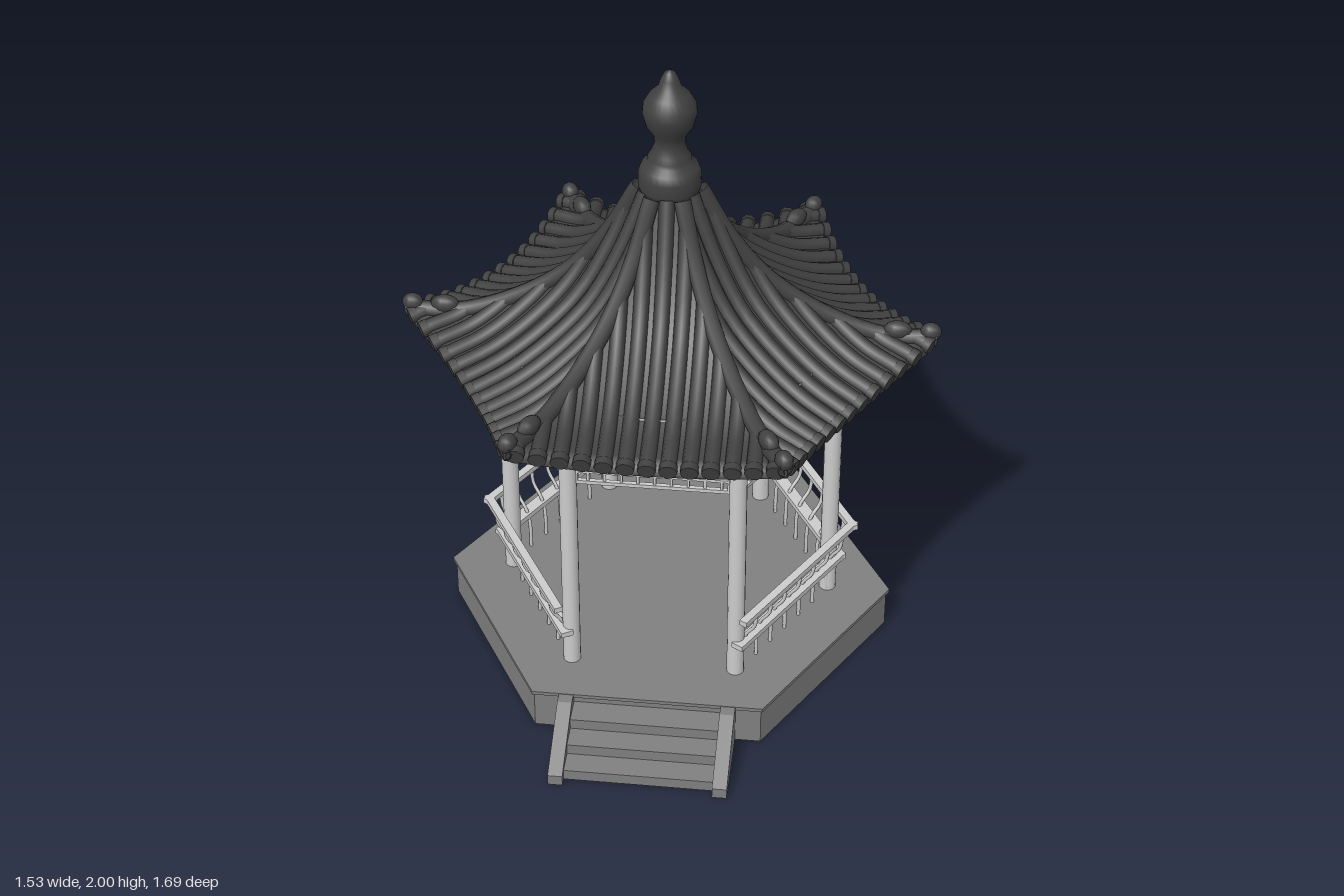
import * as THREE from 'three';

const light = new THREE.MeshStandardMaterial({ color: 0xcccccc, side: THREE.DoubleSide });
light.name = 'pale paint';
const stone = new THREE.MeshStandardMaterial({ color: 0x808080 });
stone.name = 'grey stone';
const tile = new THREE.MeshStandardMaterial({ color: 0x404040, side: THREE.DoubleSide });
tile.name = 'dark roof tile';

const rad = THREE.MathUtils.degToRad;
const SIDE = 9;           // direction of the first side, degrees from +x towards +z
const COL_R = 0.51;       // column circle
const TAN30 = Math.tan(Math.PI / 6);

function add(parent, name, geometry, material, x = 0, y = 0, z = 0) {
  const mesh = new THREE.Mesh(geometry, material);
  mesh.name = name;
  mesh.position.set(x, y, z);
  parent.add(mesh);
  return mesh;
}

function box(parent, name, material, w, h, d, x, y, z) {
  return add(parent, name, new THREE.BoxGeometry(w, h, d), material, x, y, z);
}

// Group whose local +x points outward at the given angle
function facing(parent, name, degrees) {
  const group = new THREE.Group();
  group.name = name;
  group.rotation.y = -rad(degrees);
  parent.add(group);
  return group;
}

function hexSlab(r, h) {
  const g = new THREE.CylinderGeometry(r, r, h, 6).toNonIndexed();
  g.computeVertexNormals();
  return g;
}

const curve = (pts) => new THREE.CatmullRomCurve3(pts.map(([x, y, z = 0]) => new THREE.Vector3(x, y, z)));

// Roof profiles from apex to eave: along a corner ridge and along the middle of a side
const ridgeLine = curve([[0.09, 1.61], [0.185, 1.44], [0.305, 1.3], [0.47, 1.19], [0.65, 1.125], [0.81, 1.125]]);
const middleLine = curve([[0.078, 1.61], [0.16, 1.43], [0.265, 1.27], [0.405, 1.16], [0.53, 1.095], [0.65, 1.06]]);

// Point on one roof side: u across (-1..1), v down (0..1)
function roofPoint(u, v) {
  const r = ridgeLine.getPoint(v), m = middleLine.getPoint(v), k = u * u;
  return new THREE.Vector3(
    THREE.MathUtils.lerp(m.x, r.x * Math.cos(Math.PI / 6), k),
    THREE.MathUtils.lerp(m.y, r.y, k),
    u * r.x / 2);
}

// Curved sheet with a short drop along the eave
function roofSheet() {
  const nu = 16, nv = 16, pos = [], idx = [];
  for (let j = 0; j <= nv + 1; j++) {
    for (let i = 0; i <= nu; i++) {
      const p = roofPoint(i / nu * 2 - 1, Math.min(j / nv, 1));
      if (j > nv) p.y -= 0.03;
      pos.push(p.x, p.y, p.z);
      if (j <= nv && i < nu) {
        const a = j * (nu + 1) + i, b = a + nu + 1;
        idx.push(a, a + 1, b, a + 1, b + 1, b);
      }
    }
  }
  const g = new THREE.BufferGeometry();
  g.setAttribute('position', new THREE.Float32BufferAttribute(pos, 3));
  g.setIndex(idx);
  g.computeVertexNormals();
  return g;
}

// Row of round tiles at a fixed distance s from the middle of the side
function tileRow(parent, s) {
  let lo = 0, hi = 1;
  for (let i = 0; i < 25; i++) {
    const mid = (lo + hi) / 2;
    if (ridgeLine.getPoint(mid).x / 2 < Math.abs(s)) lo = mid; else hi = mid;
  }
  const pts = [];
  for (let i = 0; i <= 10; i++) {
    const v = hi + (1 - hi) * i / 10;
    pts.push(roofPoint(s / (ridgeLine.getPoint(v).x / 2), v));
  }
  const path = new THREE.CatmullRomCurve3(pts);
  add(parent, 'tileRow', new THREE.TubeGeometry(path, 18, 0.024, 8), tile);
  const cap = add(parent, 'tileEnd', new THREE.CylinderGeometry(0.027, 0.027, 0.025, 10), tile);
  cap.position.copy(pts[10]);
  cap.quaternion.setFromUnitVectors(new THREE.Vector3(0, 1, 0), path.getTangent(1));
}

function buildRoof(root) {
  const roof = new THREE.Group();
  roof.name = 'roof';
  root.add(roof);
  const sheet = roofSheet();
  const ridge = new THREE.TubeGeometry(ridgeLine, 24, 0.027, 8);
  for (let k = 0; k < 6; k++) {
    const side = facing(roof, 'roofSide', SIDE - 0.7 + 60 * k);
    add(side, 'roofSheet', sheet, tile);
    for (let i = -6; i <= 6; i++) tileRow(side, i * 0.062);
    const corner = facing(roof, 'roofCorner', SIDE + 29.3 + 60 * k);
    add(corner, 'ridge', ridge, tile);
    // Stepped upturned tip
    add(corner, 'ridgeTip', new THREE.SphereGeometry(0.03, 10, 8), tile, 0.79, 1.145, 0).scale.set(1.1, 1, 0.9);
    add(corner, 'ridgeStep', new THREE.SphereGeometry(0.03, 10, 8), tile, 0.69, 1.145, 0).scale.set(1.5, 1, 0.9);
  }
  // Turned finial
  const profile = [[0, 1.59], [0.088, 1.6], [0.094, 1.62], [0.094, 1.66], [0.085, 1.685], [0.065, 1.7],
    [0.065, 1.715], [0.055, 1.73], [0.045, 1.76], [0.05, 1.79], [0.07, 1.82], [0.081, 1.86], [0.078, 1.89],
    [0.06, 1.92], [0.035, 1.945], [0.027, 1.97], [0.015, 1.992], [0, 2]];
  add(roof, 'finial', new THREE.LatheGeometry(profile.map(([x, y]) => new THREE.Vector2(x, y)), 28), tile);
}

// Lattice panel hanging between two columns
function buildLattice(side) {
  const a = COL_R * Math.cos(Math.PI / 6), w = 0.46, t = 0.008;
  const panel = new THREE.Group();
  panel.name = 'latticePanel';
  panel.position.x = a;
  side.add(panel);
  for (const y of [0.836, 0.942]) box(panel, 'latticeRail', light, 0.014, 0.012, w, 0, y, 0);
  for (const y of [0.872, 0.907]) box(panel, 'latticeBar', light, t, t, w, 0, y, 0);
  for (const z of [-1, 1]) box(panel, 'latticeStile', light, 0.014, 0.118, 0.012, 0, 0.889, z * w / 2);
  for (let row = 0; row < 3; row++) {
    for (let i = 0; i < 9; i++) {
      const z = (i - 4) * 0.05 + (row % 2 ? 0.018 : -0.006);
      box(panel, 'latticePost', light, t, 0.036, t, 0, 0.854 + row * 0.035, z);
    }
  }
}

// Seat rail, leaning back rail and bent balusters
const baluster = new THREE.TubeGeometry(
  curve([[0.45, 0.135], [0.453, 0.24], [0.467, 0.285], [0.497, 0.33], [0.503, 0.39]]), 14, 0.006, 6);
function buildRailing(side) {
  const rail = new THREE.Group();
  rail.name = 'railing';
  side.add(rail);
  box(rail, 'topRail', light, 0.026, 0.018, 2 * 0.505 * TAN30 + 0.03, 0.503, 0.39, 0);
  box(rail, 'seatRail', light, 0.04, 0.018, 2 * 0.47 * TAN30 + 0.03, 0.468, 0.265, 0);
  for (let i = -3; i <= 3; i++) add(rail, 'baluster', baluster, light, 0, 0, i * 0.078);
}

// Three steps between sloping side walls
function buildStairs(side) {
  const stairs = new THREE.Group();
  stairs.name = 'stairs';
  side.add(stairs);
  [0.84, 0.765, 0.69].forEach((end, i) => {
    const h = 0.035 * (i + 1);
    box(stairs, 'step', stone, end - 0.58, h, 0.46, (end + 0.58) / 2, h / 2, 0);
  });
  const shape = new THREE.Shape([[0.58, 0], [0.868, 0], [0.868, 0.035], [0.65, 0.138], [0.58, 0.138]]
    .map(([x, y]) => new THREE.Vector2(x, y)));
  const wall = new THREE.ExtrudeGeometry(shape, { depth: 0.045, bevelEnabled: false });
  for (const z of [-0.272, 0.227]) add(stairs, 'stairWall', wall, stone, 0, 0, z);
}

export function createModel() {
  const root = new THREE.Group();
  root.name = 'pavilion';

  // Stone platform
  const platform = facing(root, 'platform', SIDE);
  add(platform, 'platformBody', hexSlab(0.7, 0.128), stone, 0, 0.064, 0);
  add(platform, 'platformSlab', hexSlab(0.71, 0.012), stone, 0, 0.134, 0);

  // Columns and the sides between them
  for (let k = 0; k < 6; k++) {
    const corner = facing(root, 'corner', SIDE + 30 + 60 * k);
    add(corner, 'column', new THREE.CylinderGeometry(0.027, 0.027, 1.0, 16), light, COL_R, 0.64, 0);
    const side = facing(root, 'side', SIDE + 60 * k);
    buildLattice(side);
    if (k % 3 === 2) buildStairs(side);
    else buildRailing(side);
  }

  // Round beam under the roof
  add(root, 'ringBeam', new THREE.CylinderGeometry(0.495, 0.495, 0.17, 64, 1, true), light, 0, 1.035, 0);

  buildRoof(root);
  return root;
}
